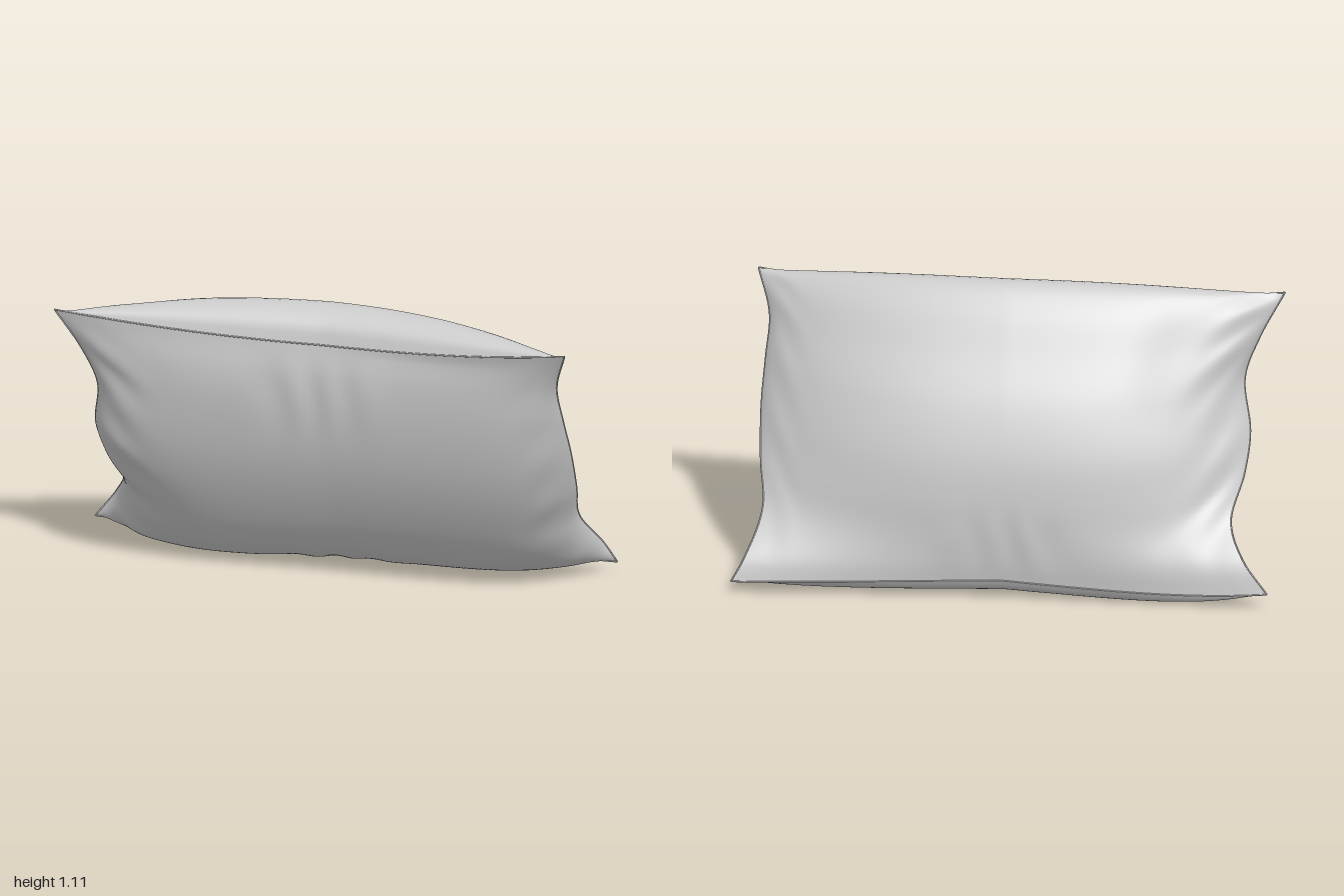
import * as THREE from 'three';

const curve = (pts) => new THREE.CatmullRomCurve3(pts.map((p) => new THREE.Vector3(...p)));

// Side seams, bottom corner to top corner
const rightSeam = curve([
  [-0.97, 0.06, -0.3], [-0.88, 0.18, -0.27], [-0.83, 0.29, -0.17], [-0.87, 0.43, -0.04],
  [-0.885, 0.56, 0.05], [-0.86, 0.74, 0.13], [-0.91, 0.88, 0.17], [-1, 1.04, 0.22],
]);
const leftSeam = curve([
  [0.99, 0.05, -0.28], [0.945, 0.13, -0.255], [0.885, 0.28, -0.12], [0.9, 0.43, -0.01],
  [0.905, 0.6, 0.1], [0.895, 0.75, 0.18], [0.885, 0.9, 0.24], [0.93, 1.05, 0.31],
]);

// Middle cross-section, bottom seam to top seam, over the front and the back
const frontMid = curve([
  [0, 0.08, -0.28], [0, 0.04, -0.255], [0, 0.025, -0.2], [0, 0.055, -0.1], [0, 0.15, 0],
  [0, 0.31, 0.1], [0, 0.5, 0.18], [0, 0.7, 0.225], [0, 0.86, 0.235], [0, 0.985, 0.22],
]);
const backMid = curve([
  [0, 0.08, -0.28], [0, 0.15, -0.29], [0, 0.28, -0.298], [0, 0.4, -0.295], [0, 0.55, -0.27],
  [0, 0.73, -0.2], [0, 0.89, -0.1], [0, 1.04, 0], [0, 1.105, 0.08], [0, 1.095, 0.15],
  [0, 1.05, 0.2], [0, 0.985, 0.22],
]);

const bump = (d, width) => Math.exp(-((d / width) ** 2));

// Creases gathered along the seams, as an offset along the pillow's thickness
function wrinkle(u, t, isFront) {
  const fade = Math.min(1, 8 * t * (1 - t)) * (1 - u ** 8);
  const ripple = Math.sin(u * 24 + 3 * Math.sin(u * 7)) * bump(u + 0.1, 0.45);
  let h = 0.007 * ripple * (bump(t - 0.1, 0.08) + (isFront ? bump(t - 0.87, 0.12) : 0));
  h += 0.01 * Math.sin(t * 42 + u * 20) * bump(u + 0.92, 0.1);
  h += 0.005 * Math.sin(t * 36 - u * 25) * bump(u - 0.93, 0.07);
  // Soft hollow towards the upper right of the back
  if (!isFront) h -= 0.02 * bump(u + 0.68, 0.14) * bump(t - 0.65, 0.16);
  return h * fade;
}

// Point on a panel: u runs -1..1 across, t runs 0..1 from bottom to top
function panelPoint(u, t, isFront) {
  const a = Math.abs(u), s = Math.max(0, Math.sin(Math.PI * t));
  // The front's low edge runs out to the bottom corners, the back's crest to the top ones
  const seamT = isFront ? t ** 1.4 : 1 - (1 - t) ** 1.9;
  const side = (u < 0 ? rightSeam : leftSeam).getPointAt(seamT);
  const mid = (isFront ? frontMid : backMid).getPointAt(t);
  // Slight twist: the upper left leans forward, the lower right sags back
  mid.y -= (u < 0 ? 0.06 : 0.025) * a * (1 - t);
  mid.z += u < 0 ? -0.03 * a * (1 - t) : 0.07 * a * t;
  // The front is boxy across, the back tapers gently to the side seams
  const power = 2 + (isFront ? 4 * Math.sqrt(s) : 0.7 * s);
  const fullness = Math.max(0, 1 - a ** power) ** (1 - (isFront ? 0.42 * Math.sqrt(s) : 0.22 * s));
  const p = side.clone().lerp(mid, fullness);
  p.x = a * side.x;
  const h = wrinkle(u, t, isFront) * (isFront ? 1 : -1);
  p.y -= 0.47 * h;
  p.z += 0.88 * h;
  return p;
}

function panelGeometry(isFront) {
  const nu = 110, nt = 70, positions = [], index = [];
  for (let j = 0; j <= nt; j++) {
    for (let i = 0; i <= nu; i++) {
      const u = Math.sin((i / nu - 0.5) * Math.PI); // finer towards the side seams
      positions.push(...panelPoint(u, j / nt, isFront).toArray());
    }
  }
  for (let j = 0; j < nt; j++) {
    for (let i = 0; i < nu; i++) {
      const a = j * (nu + 1) + i, b = a + 1, c = b + nu + 1, d = a + nu + 1;
      if (isFront) index.push(a, b, c, a, c, d);
      else index.push(a, c, b, a, d, c);
    }
  }
  const geometry = new THREE.BufferGeometry();
  geometry.setAttribute('position', new THREE.Float32BufferAttribute(positions, 3));
  geometry.setIndex(index);
  geometry.computeVertexNormals();
  return geometry;
}

export function createModel() {
  const group = new THREE.Group();
  group.name = 'pillow';
  const material = new THREE.MeshStandardMaterial({ color: 0xcccccc, side: THREE.DoubleSide });
  const add = (name, geometry) => {
    const mesh = new THREE.Mesh(geometry, material);
    mesh.name = name;
    group.add(mesh);
  };

  add('frontPanel', panelGeometry(true));
  add('backPanel', panelGeometry(false));

  // Thin stitched seam along all four edges
  const edge = (point) => new THREE.CatmullRomCurve3(
    Array.from({ length: 33 }, (_, i) => point(i / 32)));
  const seams = {
    bottomSeam: edge((k) => panelPoint(2 * k - 1, 0, true)),
    topSeam: edge((k) => panelPoint(2 * k - 1, 1, true)),
    rightSeam,
    leftSeam,
  };
  for (const [name, path] of Object.entries(seams)) {
    add(name, new THREE.TubeGeometry(path, 80, 0.003, 6));
  }
  return group;
}
